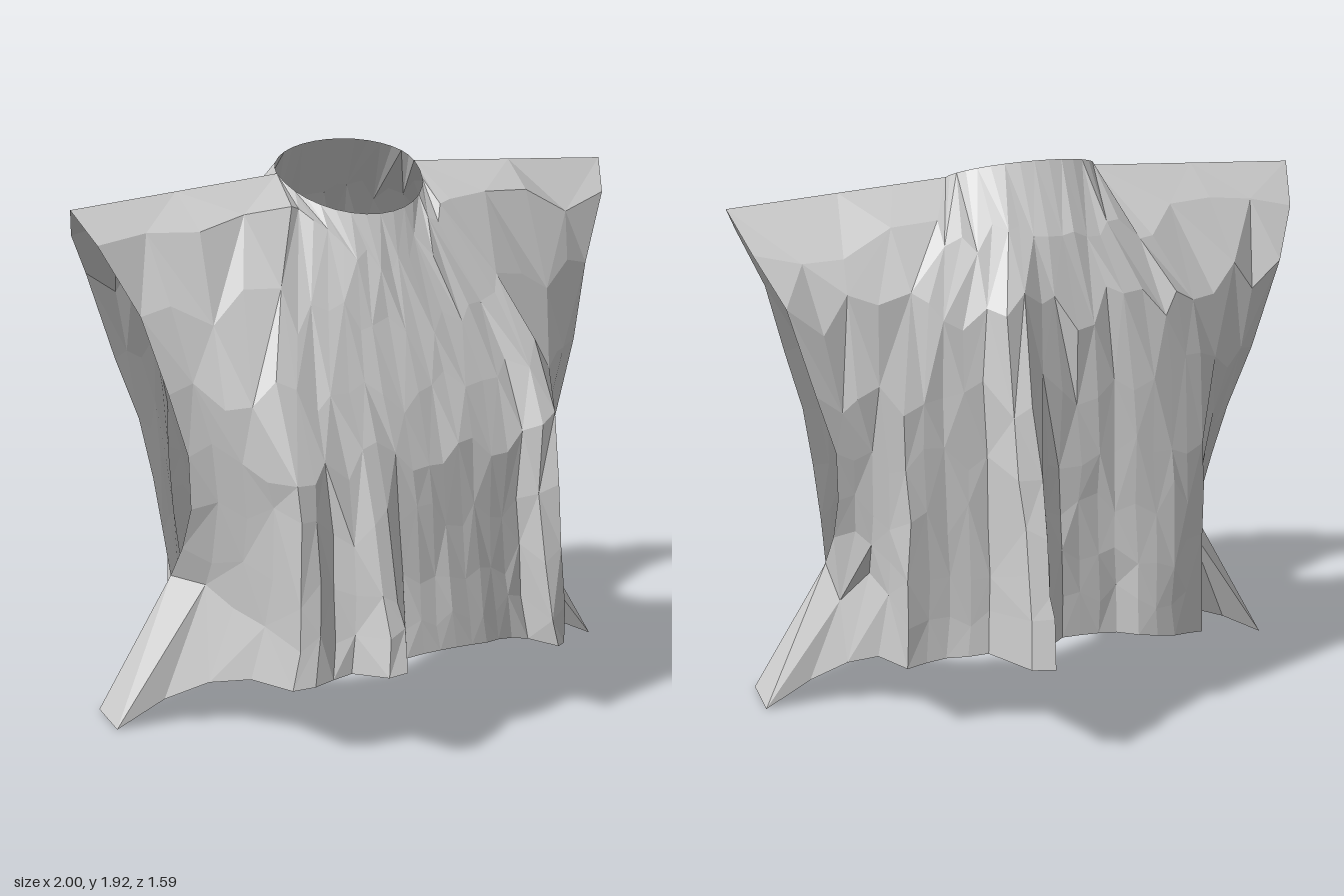
import * as THREE from 'three';

const material = new THREE.MeshStandardMaterial({ color: 0xcccccc, flatShading: true, side: THREE.DoubleSide });

// Each row runs from neck to hem: centre y, z | corner x, y, z | outer edge x, y, z | inward pinch of the side
const frontRows = [
  [1.75, 0.21, 0.26, 1.86, -0.05, 1.0, 1.81, -0.03, 0],
  [1.62, 0.28, 0.29, 1.78, 0.14, 0.95, 1.71, 0.08, 0],
  [1.42, 0.38, 0.42, 1.48, 0.32, 0.84, 1.48, 0.16, 0],
  [1.20, 0.49, 0.49, 1.24, 0.45, 0.77, 1.22, 0.21, 0],
  [1.02, 0.57, 0.48, 1.02, 0.55, 0.71, 1.00, 0.22, 0.1],
  [0.80, 0.59, 0.46, 0.80, 0.56, 0.69, 0.80, 0.18, 0.15],
  [0.60, 0.62, 0.47, 0.56, 0.57, 0.69, 0.63, 0.09, 0.2],
  [0.46, 0.65, 0.48, 0.40, 0.57, 0.70, 0.50, 0.0, 0.3],
  [0.35, 0.67, 0.50, 0.26, 0.57, 0.95, 0.01, 0.10, 0.8],
];
const backRows = [
  [1.93, -0.20, 0.26, 1.86, -0.05, 1.0, 1.81, -0.03, 0],
  [1.72, -0.34, 0.36, 1.72, -0.24, 0.95, 1.69, -0.18, 0],
  [1.48, -0.44, 0.50, 1.50, -0.38, 0.87, 1.53, -0.28, 0],
  [1.22, -0.46, 0.53, 1.22, -0.43, 0.78, 1.22, -0.27, 0],
  [1.00, -0.47, 0.52, 1.00, -0.46, 0.71, 1.00, -0.24, 0.1],
  [0.80, -0.48, 0.52, 0.80, -0.47, 0.69, 0.80, -0.17, 0.15],
  [0.60, -0.49, 0.52, 0.56, -0.47, 0.69, 0.63, -0.09, 0.2],
  [0.46, -0.49, 0.52, 0.42, -0.48, 0.70, 0.50, 0.0, 0.3],
  [0.33, -0.50, 0.53, 0.26, -0.48, 0.95, 0.01, -0.08, 0.8],
];

// Hanging folds: x, depth at the hem, half width, height where the fold starts
const frontFolds = [[-0.22, 0.15, 0.07, 1.1], [0.45, 0.12, 0.06, 1.6], [-0.43, 0.03, 0.06, 1.55], [0.3, -0.02, 0.08, 1.2]];
const backFolds = [[0.15, 0.3, 0.075, 1.75], [-0.35, 0.06, 0.12, 1.7], [0.5, -0.06, 0.16, 1.7]];

const INNER = 8, OUTER = 4, HALF = INNER + OUTER, LAST = frontRows.length - 1;
const { lerp, clamp } = THREE.MathUtils;
const noise = (a, b) => { const s = Math.sin(a * 12.99 + b * 78.23) * 43758.5; return s - Math.floor(s) - 0.5; };

// One point of a panel: a rounded middle, then a side that may pinch inward
function panelPoint(rows, column, r, sign, folds) {
  const side = Math.sign(column), n = Math.abs(column);
  const inside = r > 0 && r < LAST && n < HALF;
  // Sliding points up and down the cloth gives irregular facets
  const v = inside ? r + 0.6 * noise(column + 17, r * sign) : r;
  const low = Math.min(Math.floor(v), LAST - 1);
  const row = rows[low].map((value, i) => lerp(value, rows[low + 1][i], v - low));
  const [cy, cz, kx, ky, kz, ex, ey, ez, pinch] = row;
  let x, y, z;
  if (n <= INNER) {
    const s = n / INNER, angle = s * Math.PI / 2, blend = 1 - Math.cos(angle);
    x = kx * lerp(Math.sin(angle), s, Math.min(v, 1));
    y = lerp(cy, ky, blend);
    z = lerp(cz, kz, blend);
  } else {
    const t = (n - INNER) / OUTER, pull = 2 * t * (1 - t) * pinch;
    x = lerp(kx, ex, t) - pull * 0.18;
    y = lerp(ky, ey, t) + pull * 0.1;
    z = lerp(kz, ez, t) - pull * sign * 0.3;
  }
  x *= side;
  for (const [fx, depth, width, top] of folds) {
    const grow = clamp((top - y) / (top - 0.35), 0, 1);
    const shape = grow * Math.exp(-(((x - fx) / width) ** 4));
    z += sign * depth * shape;
    y += Math.max(depth, 0) * 0.15 * shape;
  }
  // Small creases away from the seams
  if (inside) {
    x += 0.015 * noise(column + 3, r * sign);
    z += 0.014 * noise(column + 31, r * sign);
  }
  return [x, y, z];
}

function panel(name, rows, folds, sign) {
  const positions = [], index = [], width = 2 * HALF + 1;
  for (let r = 0; r <= LAST; r++) {
    for (let c = -HALF; c <= HALF; c++) positions.push(...panelPoint(rows, c, r, sign, folds));
  }
  for (let r = 0; r < LAST; r++) {
    for (let c = 0; c < width - 1; c++) {
      const a = r * width + c, b = a + 1, d = a + width, e = d + 1;
      const faces = (r + c) % 2 ? [a, d, b, b, d, e] : [a, d, e, a, e, b];
      index.push(...(sign > 0 ? faces : faces.reverse()));
    }
  }
  return surface(name, positions, index);
}

function surface(name, positions, index) {
  const geometry = new THREE.BufferGeometry();
  geometry.setAttribute('position', new THREE.Float32BufferAttribute(positions, 3));
  geometry.setIndex(index);
  geometry.computeVertexNormals();
  const mesh = new THREE.Mesh(geometry, material);
  mesh.name = name;
  return mesh;
}

export function createModel() {
  const group = new THREE.Group();
  group.name = 'sleevelessTop';
  group.add(panel('frontPanel', frontRows, frontFolds, 1));
  group.add(panel('backPanel', backRows, backFolds, -1));

  // Flared gussets closing the side seams below the armholes
  for (const [name, s] of [['leftGusset', 1], ['rightGusset', -1]]) {
    const corners = [s * 0.7, 0.5, 0, s * 0.95, 0.01, 0.1, s * 0.95, 0.01, -0.08];
    group.add(surface(name, corners, s > 0 ? [0, 1, 2] : [0, 2, 1]));
  }
  return group;
}
